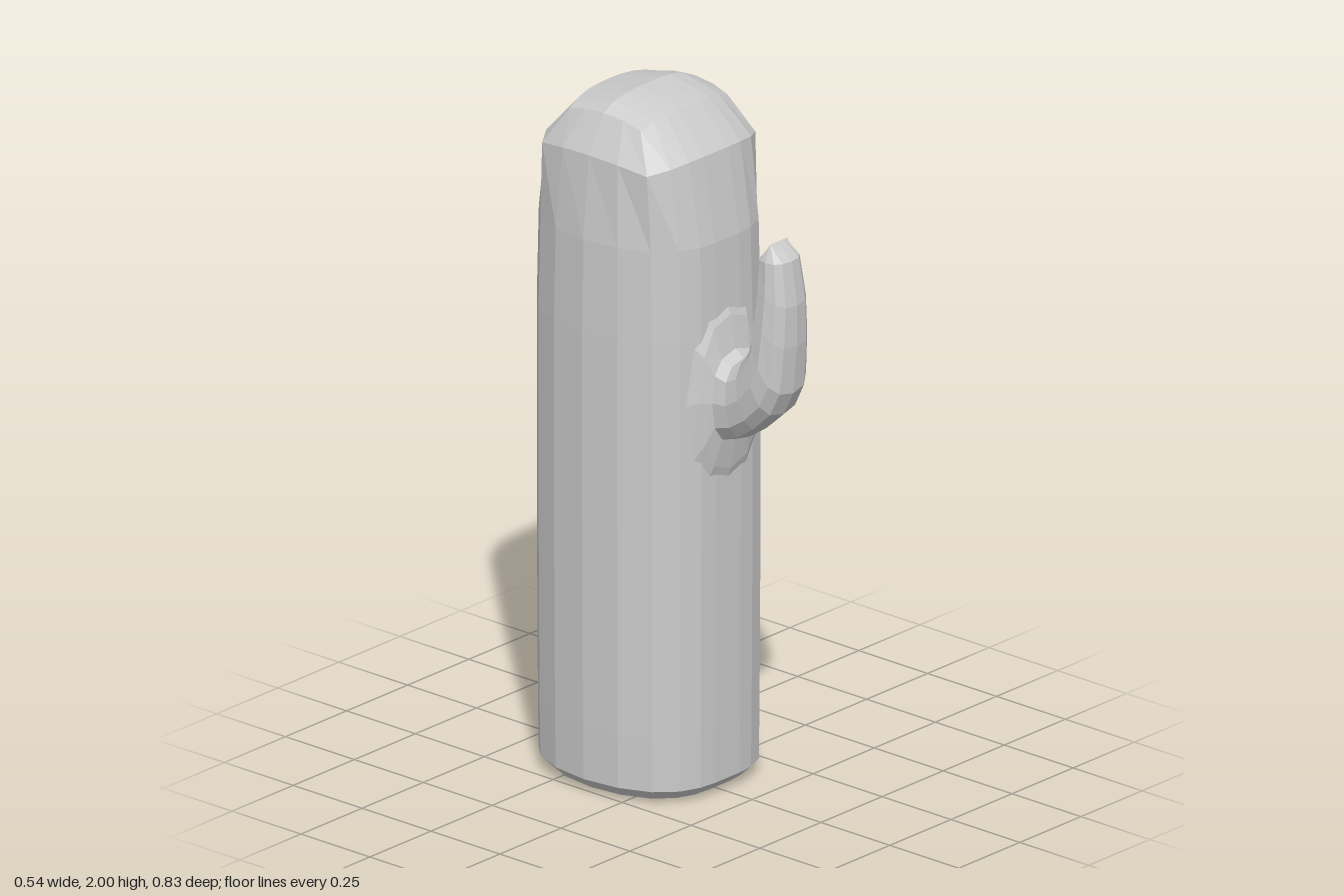
import * as THREE from 'three';

const material = new THREE.MeshStandardMaterial({ color: 0xcccccc, flatShading: true });

// Skins a list of closed rings; a ring collapsed to a line or point closes an end.
function loft(name, rings) {
  const n = rings[0].length, index = [];
  for (let i = 0; i < rings.length - 1; i++) {
    for (let j = 0; j < n; j++) {
      const k = (j + 1) % n;
      const a = i * n + j, b = i * n + k, c = (i + 1) * n + k, d = (i + 1) * n + j;
      index.push(a, d, c, a, c, b);
    }
  }
  const geometry = new THREE.BufferGeometry();
  geometry.setAttribute('position', new THREE.Float32BufferAttribute(rings.flat(2), 3));
  geometry.setIndex(index);
  geometry.computeVertexNormals();
  const mesh = new THREE.Mesh(geometry, material);
  mesh.name = name;
  return mesh;
}

// Mirrors one quarter (from the +x side to the +z side) into a full ring.
function mirrorQuarter(quarter) {
  const inner = quarter.slice(1, -1);
  const half = [...quarter, ...inner.map(([x, y, z]) => [-x, y, z]).reverse()];
  const [sx, sy, sz] = quarter[0];
  return [...half, [-sx, sy, sz], ...half.slice(1).reverse().map(([x, y, z]) => [x, y, -z])];
}

function createTrunk() {
  const plan = [[0.272, 0], [0.258, 0.115], [0.22, 0.205], [0.165, 0.26], [0.105, 0.284], [0.05, 0.29], [0, 0.29]];
  const level = (y, sx, sz) => plan.map(([x, z]) => [x * sx, y, z * sz]);
  const shoulder = [[0.245, 1.86, 0], [0.24, 1.855, 0.1], [0.222, 1.84, 0.19], [0.165, 1.852, 0.225],
    [0.105, 1.86, 0.24], [0.05, 1.862, 0.245], [0, 1.862, 0.245]];
  const crown = [[0.185, 1.966, 0], [0.183, 1.96, 0.07], [0.178, 1.945, 0.128], [0.135, 1.96, 0.136],
    [0.09, 1.968, 0.142], [0.045, 1.972, 0.144], [0, 1.973, 0.144]];
  // Crown closes onto a ridge running from side to side.
  const ridge = [[0.185, 1.966, 0], [0.185, 1.966, 0], [0.185, 1.966, 0], [0.137, 1.988, 0],
    [0.09, 1.997, 0], [0.045, 2, 0], [0, 2, 0]];
  const quarters = [
    level(0, 0, 0), level(0.008, 0.87, 0.87), level(0.04, 0.98, 0.985), level(0.2, 0.99, 0.99),
    level(0.8, 1, 1), level(1.35, 1, 1), level(1.62, 0.985, 0.98), shoulder, crown, ridge,
  ];
  const trunk = loft('trunk', quarters.map(mirrorQuarter));
  trunk.position.z = -0.125;
  return trunk;
}

function createArm() {
  // Each section: outer z, outer y, inner z, inner y, half width.
  const sections = [
    [0.13, 0.82, 0.13, 1.5, 0.16], [0.173, 0.95, 0.172, 1.4, 0.12], [0.19, 1.04, 0.19, 1.305, 0.095],
    [0.24, 1.06, 0.22, 1.285, 0.088], [0.3, 1.1, 0.25, 1.3, 0.088], [0.365, 1.16, 0.28, 1.345, 0.09],
    [0.4, 1.23, 0.292, 1.39, 0.087], [0.413, 1.37, 0.295, 1.46, 0.079], [0.414, 1.49, 0.3, 1.54, 0.07],
    [0.395, 1.615, 0.305, 1.615, 0.059], [0.345, 1.66, 0.345, 1.66, 0.036],
  ];
  const sides = 12;
  const square = (v) => Math.sign(v) * Math.abs(v) ** 0.8;
  const rings = sections.map(([oz, oy, iz, iy, w]) => Array.from({ length: sides }, (_, j) => {
    const a = (j / sides) * Math.PI * 2;
    const t = (1 + square(Math.sin(a))) / 2;
    return [w * square(Math.cos(a)), iy + (oy - iy) * t, iz + (oz - iz) * t];
  }));
  return loft('arm', rings);
}

export function createModel() {
  const model = new THREE.Group();
  model.name = 'cactus';
  model.add(createTrunk(), createArm());
  return model;
}
